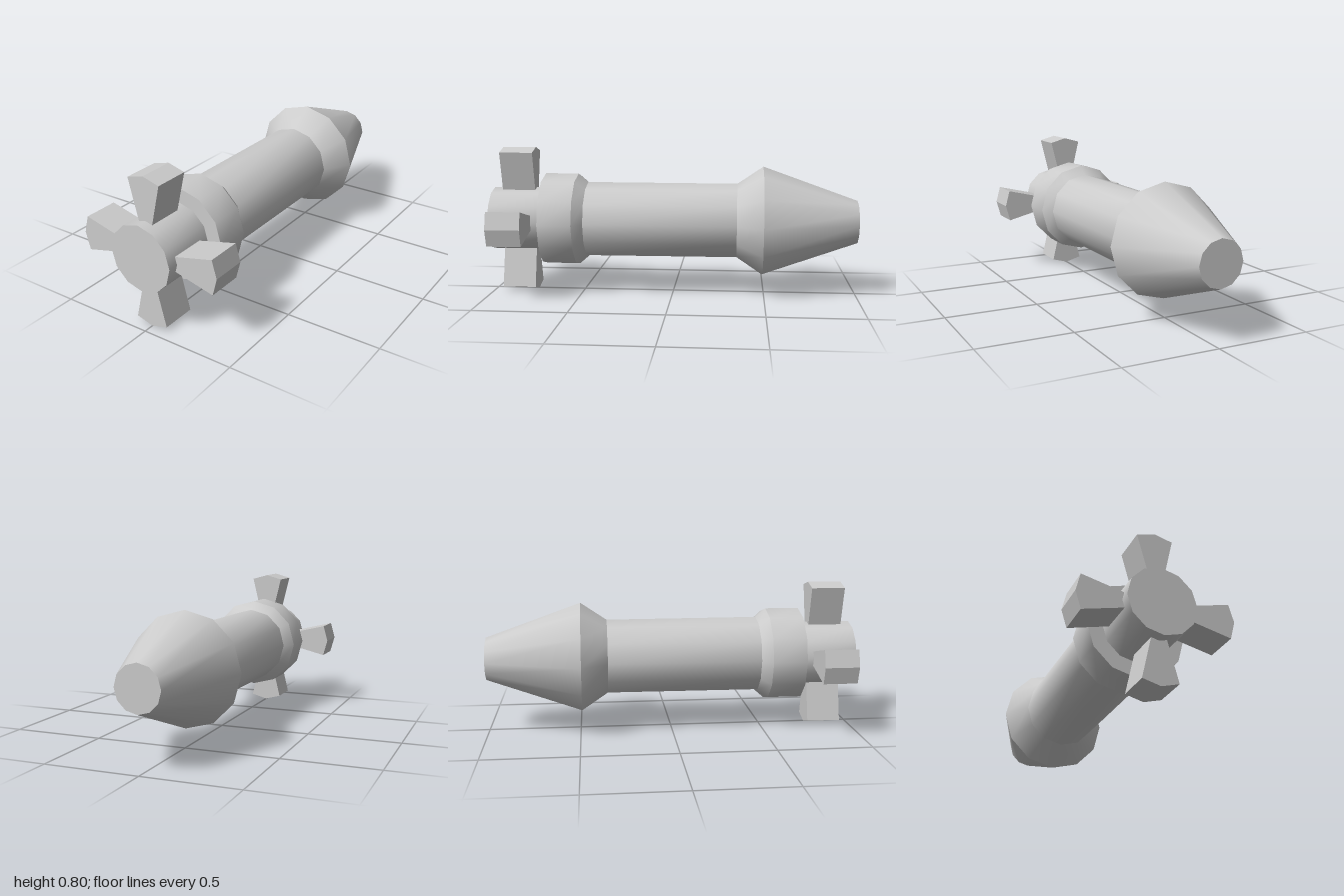
import * as THREE from 'three';
import { toCreasedNormals } from 'three/addons/utils/BufferGeometryUtils.js';

const SIDES = 12;
const material = new THREE.MeshStandardMaterial({ color: 0xcccccc });

// Turned part along z; profile is [radius, z] from back to front
function turned(name, profile) {
  const points = profile.map(([r, z]) => new THREE.Vector2(r, z));
  const geometry = new THREE.LatheGeometry(points, SIDES).rotateX(Math.PI / 2);
  const mesh = new THREE.Mesh(toCreasedNormals(geometry, 0.55), material);
  mesh.name = name;
  return mesh;
}

export function createModel() {
  const model = new THREE.Group();
  model.name = 'finnedShell';

  const body = new THREE.Group();
  body.name = 'body';
  body.position.y = 0.4;
  model.add(body);

  // Blunt nose cone with its flared shoulder
  body.add(turned('noseCone', [[0, -1], [0.118, -1], [0.3, -0.49], [0.205, -0.35]]));
  // Long cylindrical shaft
  body.add(turned('shaft', [[0.205, -0.35], [0.207, 0.473]]));
  // Collar, bevelled towards the shaft
  body.add(turned('collar', [[0.207, 0.473], [0.254, 0.527], [0.254, 0.71], [0.17, 0.71]]));
  // Hub that carries the fins
  body.add(turned('hub', [[0.175, 0.71], [0.175, 1], [0, 1]]));

  // Four wedge-shaped fins with a pointed outer edge
  const outline = new THREE.Shape([
    [-0.036, 0.15], [0.036, 0.15], [0.091, 0.374], [0, 0.399], [-0.091, 0.374],
  ].map(([x, y]) => new THREE.Vector2(x, y)));
  const finGeometry = new THREE.ExtrudeGeometry(outline, { depth: 0.182, bevelEnabled: false });
  finGeometry.translate(0, 0, 0.764);
  for (let i = 0; i < 4; i++) {
    const fin = new THREE.Mesh(finGeometry, material);
    fin.name = `fin${i + 1}`;
    fin.rotation.z = (i * Math.PI) / 2;
    body.add(fin);
  }

  return model;
}
